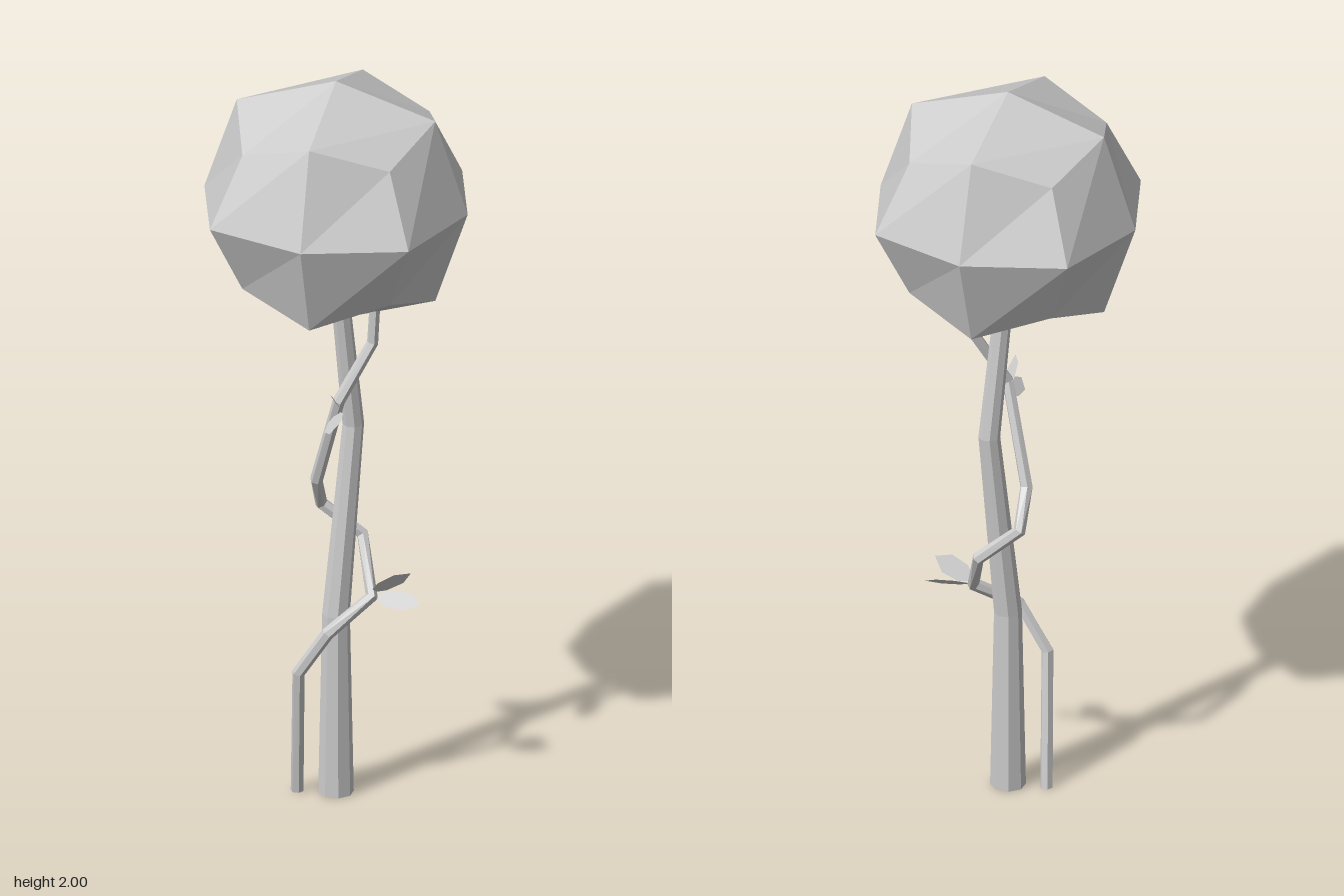
import * as THREE from 'three';

const material = new THREE.MeshStandardMaterial({ color: 0xcccccc, flatShading: true });
const leafMaterial = new THREE.MeshStandardMaterial({ color: 0xcccccc, flatShading: true, side: THREE.DoubleSide });

function addMesh(parent, name, geometry, mat = material) {
  const mesh = new THREE.Mesh(geometry, mat);
  mesh.name = name;
  parent.add(mesh);
  return mesh;
}

// Faceted tube through [x, y, z, radius] points, with mitred joints and closed ends
function facetedTube(points, sides) {
  const centres = points.map(([x, y, z]) => new THREE.Vector3(x, y, z));
  const last = points.length - 1;
  const positions = [];
  const index = [];
  centres.forEach((c, i) => {
    const before = centres[Math.max(i - 1, 0)];
    const after = centres[Math.min(i + 1, last)];
    const tangent = new THREE.Vector3();
    if (i > 0) tangent.add(c.clone().sub(before).normalize());
    if (i < last) tangent.add(after.clone().sub(c).normalize());
    if (i === 0) tangent.set(0, 1, 0); // flat foot on the ground
    tangent.normalize();
    const u = new THREE.Vector3(0, 0, 1).addScaledVector(tangent, -tangent.z).normalize();
    const v = new THREE.Vector3().crossVectors(tangent, u);
    for (let k = 0; k < sides; k++) {
      const a = ((k + 0.5) / sides) * Math.PI * 2;
      const p = c.clone()
        .addScaledVector(u, Math.cos(a) * points[i][3])
        .addScaledVector(v, Math.sin(a) * points[i][3]);
      positions.push(p.x, p.y, p.z);
      if (i < last) {
        const a0 = i * sides + k;
        const b0 = i * sides + (k + 1) % sides;
        index.push(a0, b0, b0 + sides, a0, b0 + sides, a0 + sides);
      }
    }
  });
  const top = last * sides;
  for (let k = 1; k < sides - 1; k++) {
    index.push(0, k + 1, k, top, top + k, top + k + 1);
  }
  const geometry = new THREE.BufferGeometry();
  geometry.setAttribute('position', new THREE.Float32BufferAttribute(positions, 3));
  geometry.setIndex(index);
  geometry.computeVertexNormals();
  return geometry;
}

// Flat pointed leaf from base to tip, facing the given normal
function leafGeometry(base, tip, normal) {
  const outline = [[0, 0], [0.3, 0.42], [0.7, 0.46], [1, 0], [0.7, -0.46], [0.3, -0.42]];
  const shape = new THREE.Shape(outline.map(([x, y]) => new THREE.Vector2(x, y)));
  const geometry = new THREE.ShapeGeometry(shape);
  const from = new THREE.Vector3(...base);
  const along = new THREE.Vector3(...tip).sub(from);
  const across = new THREE.Vector3(...normal).cross(along).normalize().multiplyScalar(0.058);
  const facing = along.clone().cross(across).normalize();
  geometry.applyMatrix4(new THREE.Matrix4().makeBasis(along, across, facing).setPosition(from));
  return geometry;
}

function leafPair(name, position, turn) {
  const pair = new THREE.Group();
  pair.name = name;
  addMesh(pair, 'lowerLeaf', leafGeometry([0, 0, 0], [0.125, -0.01, -0.01], [0.03, 0.8, 0.6]), leafMaterial);
  addMesh(pair, 'upperLeaf', leafGeometry([-0.01, 0.01, 0], [0.095, 0.07, -0.015], [-0.285, 0.512, -0.62]), leafMaterial);
  pair.position.set(...position);
  pair.rotation.y = turn;
  return pair;
}

// Crown: a cube with 2 x 2 faces per side, puffed out into a rough ball
function crownGeometry() {
  const geometry = new THREE.BoxGeometry(2, 2, 2, 2, 2, 2);
  const p = geometry.attributes.position;
  const reach = [0, 0.35, 0.264, 0.196]; // by face centre, edge middle, corner
  for (let i = 0; i < p.count; i++) {
    const v = new THREE.Vector3().fromBufferAttribute(p, i).round();
    const s = reach[Math.abs(v.x) + Math.abs(v.y) + Math.abs(v.z)];
    p.setXYZ(i, v.x * s, v.y * s * 0.957, v.z * s);
  }
  geometry.computeVertexNormals();
  return geometry;
}

export function createModel() {
  const tree = new THREE.Group();
  tree.name = 'tree';

  addMesh(tree, 'crown', crownGeometry()).position.y = 1.665;

  addMesh(tree, 'trunk', facetedTube([
    [0, 0, 0, 0.046],
    [0, 0.5, 0, 0.036],
    [0.033, 1.02, -0.048, 0.028],
    [0.008, 1.4, -0.008, 0.024],
  ], 8));

  // Vine winding up around the trunk
  addMesh(tree, 'vine', facetedTube([
    [-0.098, 0, 0.02, 0.017],
    [-0.078, 0.36, 0.08, 0.017],
    [0, 0.48, 0.085, 0.017],
    [0.095, 0.56, 0, 0.017],
    [0.045, 0.69, -0.095, 0.017],
    [-0.058, 0.775, -0.07, 0.017],
    [-0.053, 0.87, -0.005, 0.017],
    [0.025, 1.13, 0.065, 0.016],
    [0.1, 1.28, 0.01, 0.015],
    [0.108, 1.42, 0.01, 0.014],
  ], 6));

  tree.add(leafPair('lowerLeaves', [0.1, 0.56, 0], 0));
  tree.add(leafPair('upperLeaves', [0.02, 1.095, 0.05], -Math.PI / 2));

  return tree;
}
